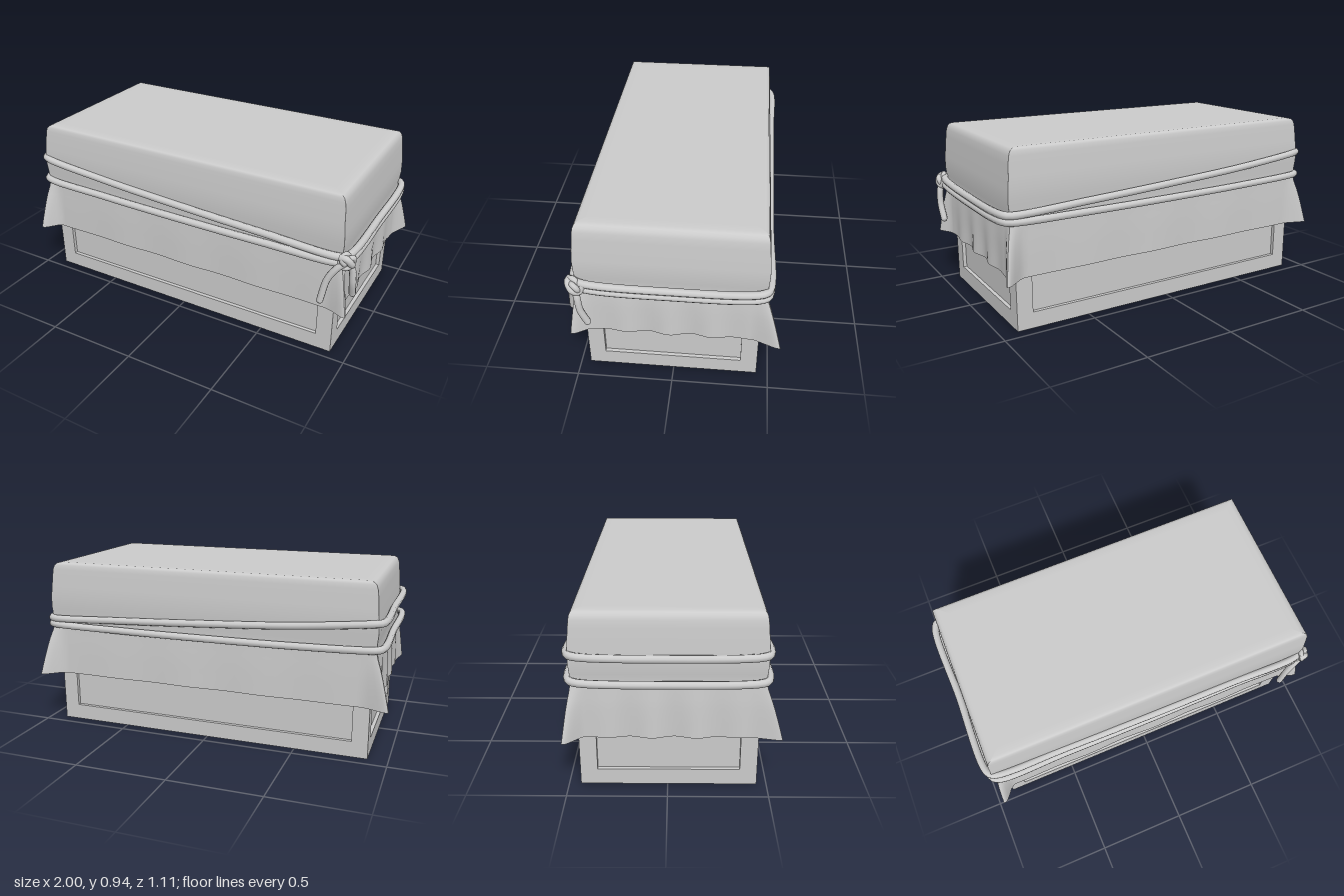
import * as THREE from 'three';

const CX = 0.01, CZ = 0.005;
const material = new THREE.MeshStandardMaterial({ color: 0xcccccc, side: THREE.DoubleSide });

function addMesh(parent, name, geometry) {
  const mesh = new THREE.Mesh(geometry, material);
  mesh.name = name;
  parent.add(mesh);
  return mesh;
}

function buildGeometry(positions, index) {
  const g = new THREE.BufferGeometry();
  g.setAttribute('position', new THREE.Float32BufferAttribute(positions, 3));
  g.setIndex(index);
  return g;
}

// Thin wall with a sunken panel: nested rectangles, outer edge to panel floor
function wallGeometry(w, h) {
  const inset = 0.087, depth = 0.02;
  const rings = [[0, 0], [inset, 0], [inset, -depth]];
  const pos = [], idx = [];
  for (const [s, z] of rings) {
    const x = w / 2 - s, y0 = s, y1 = h - s;
    pos.push(-x, y0, z, x, y0, z, x, y1, z, -x, y1, z);
  }
  for (let k = 0; k < 2; k++) {
    for (let i = 0; i < 4; i++) {
      const a = k * 4 + i, b = k * 4 + (i + 1) % 4;
      idx.push(a, b, a + 4, b, b + 4, a + 4);
    }
  }
  idx.push(8, 9, 10, 8, 10, 11);
  const g = buildGeometry(pos, idx).toNonIndexed();
  g.computeVertexNormals();
  return g;
}

// Draped cloth: rectangular loops from the top centre down to the hem
function clothGeometry() {
  const hx = 0.922, hz = 0.467, n = 48;
  // height, x offset, z offset
  const levels = [
    [0.94, -hx, -hz], [0.94, -0.3, -0.2], [0.94, -0.09, -0.07], [0.939, -0.05, -0.03], [0.934, -0.03, -0.015],
    [0.922, -0.017, -0.009], [0.9, -0.009, -0.005], [0.86, -0.004, -0.002], [0.8, 0, 0.004],
    [0.74, 0.006, 0.008], [0.68, 0.008, 0.006], [0.63, 0.003, 0.002], [0.59, 0, 0],
    [0.55, 0.002, 0.001], [0.5, 0.006, 0.003], [0.45, 0.008, 0.005], [0.4, 0.009, 0.006],
    [0.35, 0.01, 0.007], [0.292, 0.011, 0.008]];
  // corners, going round from the front, and how far each folded ear sticks out
  const corners = [[-1, 1], [1, 1], [1, -1], [-1, -1]];
  const ears = [[-0.025, 0.08], [0.045, 0.035], [0.05, -0.075], [-0.07, -0.04]];
  const pos = [], idx = [], loop = 4 * n;
  levels.forEach(([y, ox, oz], r) => {
    const drop = THREE.MathUtils.clamp((0.57 - y) / 0.278, 0, 1);
    for (let side = 0; side < 4; side++) {
      const a = corners[side], b = corners[(side + 1) % 4];
      const length = side % 2 ? 2 * hz : 2 * hx;
      for (let i = 0; i < n; i++) {
        const t = 0.5 - 0.5 * Math.cos(Math.PI * i / n);
        let x = THREE.MathUtils.lerp(a[0], b[0], t) * (hx + ox);
        let z = THREE.MathUtils.lerp(a[1], b[1], t) * (hz + oz);
        // gentle ripples, strongest at the hem of the short ends
        const fade = Math.sin(Math.PI * t);
        const ripple = fade * drop * Math.sin(t * 27 + side);
        if (side % 2) x += a[0] * 0.012 * ripple;
        else z += a[1] * 0.004 * ripple;
        // folded ears at the corners
        for (const [d, c] of [[t * length, side], [(1 - t) * length, (side + 1) % 4]]) {
          const k = drop ** 0.85 * (1 - THREE.MathUtils.smoothstep(d, 0.012, 0.065));
          x += ears[c][0] * k;
          z += ears[c][1] * k;
        }
        pos.push(x + CX, y, z + CZ);
        if (r < levels.length - 1) {
          const p = r * loop + side * n + i, q = r * loop + (side * n + i + 1) % loop;
          if (r > 0) idx.push(p, p + loop, q);
          idx.push(q, p + loop, q + loop);
        }
      }
    }
  });
  const g = buildGeometry(pos, idx);
  g.computeVertexNormals();
  return g;
}

function tube(points, radius, closed = false) {
  const curve = new THREE.CatmullRomCurve3(points.map(p => new THREE.Vector3(...p)), closed, 'centripetal');
  return new THREE.TubeGeometry(curve, closed ? 240 : 24, radius, 10, closed);
}

// Rope once round the cloth; yRight and yLeft are its heights at the two ends
function ropeLoop(yRight, yLeft, sag) {
  const midY = (yRight + yLeft) / 2 - sag, R = 0.955, L = -0.935, F = 0.482, B = -0.472;
  return tube([
    [R - 0.03, yRight, F], [0.5, THREE.MathUtils.lerp(midY, yRight, 0.5) - sag * 0.3, F + 0.004], [0, midY, F + 0.006],
    [-0.5, THREE.MathUtils.lerp(midY, yLeft, 0.5) - sag * 0.3, F + 0.004], [L + 0.03, yLeft, F],
    [L, yLeft, F - 0.03], [L - 0.005, yLeft - 0.01, 0], [L, yLeft, B + 0.03],
    [L + 0.03, yLeft, B], [-0.5, THREE.MathUtils.lerp(midY, yLeft, 0.5) - sag * 0.3, B - 0.006], [0, midY, B - 0.005],
    [0.5, THREE.MathUtils.lerp(midY, yRight, 0.5) - sag * 0.3, B - 0.003], [R - 0.03, yRight, B],
    [R, yRight, B + 0.03], [R + 0.008, yRight - 0.015, 0], [R, yRight, F - 0.03]
  ], 0.02, true);
}

export function createModel() {
  const model = new THREE.Group();
  model.name = 'coveredCrate';

  // Open-bottomed box with panelled walls
  const box = new THREE.Group();
  box.name = 'box';
  box.position.set(CX - 0.003, 0, CZ);
  model.add(box);
  const W = 1.8, D = 0.89, H = 0.91;
  ['frontWall', 'leftWall', 'backWall', 'rightWall'].forEach((name, i) => {
    const wall = addMesh(box, name, wallGeometry(i % 2 ? D : W, H));
    const angle = i * Math.PI / 2;
    wall.rotation.y = angle;
    wall.position.set(Math.sin(angle) * W / 2, 0, Math.cos(angle) * D / 2);
  });
  const lid = addMesh(box, 'boxTop', new THREE.PlaneGeometry(W, D));
  lid.rotation.x = -Math.PI / 2;
  lid.position.y = H;

  addMesh(model, 'clothCover', clothGeometry());

  // Two rope turns, meeting at the right and spreading at the left
  const rope = new THREE.Group();
  rope.name = 'rope';
  model.add(rope);
  addMesh(rope, 'upperRope', ropeLoop(0.617, 0.732, 0.015));
  addMesh(rope, 'lowerRope', ropeLoop(0.583, 0.597, 0.012));

  // Knot with two hanging tails
  const knot = addMesh(rope, 'knot', new THREE.TorusKnotGeometry(0.025, 0.015, 64, 8, 2, 3));
  knot.position.set(0.96, 0.602, 0.48);
  knot.rotation.y = Math.PI / 4;
  addMesh(rope, 'knotWrap', tube([[0.93, 0.625, 0.5], [0.965, 0.625, 0.502], [0.985, 0.59, 0.48],
    [0.975, 0.575, 0.45], [0.965, 0.61, 0.43]], 0.018));
  const tails = {
    frontTail: [[0.96, 0.6, 0.49], [0.92, 0.56, 0.505], [0.88, 0.49, 0.515], [0.855, 0.365, 0.525]],
    sideTail: [[0.965, 0.6, 0.475], [0.985, 0.55, 0.46], [0.99, 0.47, 0.45], [0.985, 0.385, 0.42]]
  };
  for (const [name, points] of Object.entries(tails)) {
    addMesh(rope, name, tube(points, 0.018));
    const end = addMesh(rope, name + 'End', new THREE.SphereGeometry(0.018, 10, 6));
    end.position.set(...points[3]);
  }
  return model;
}
